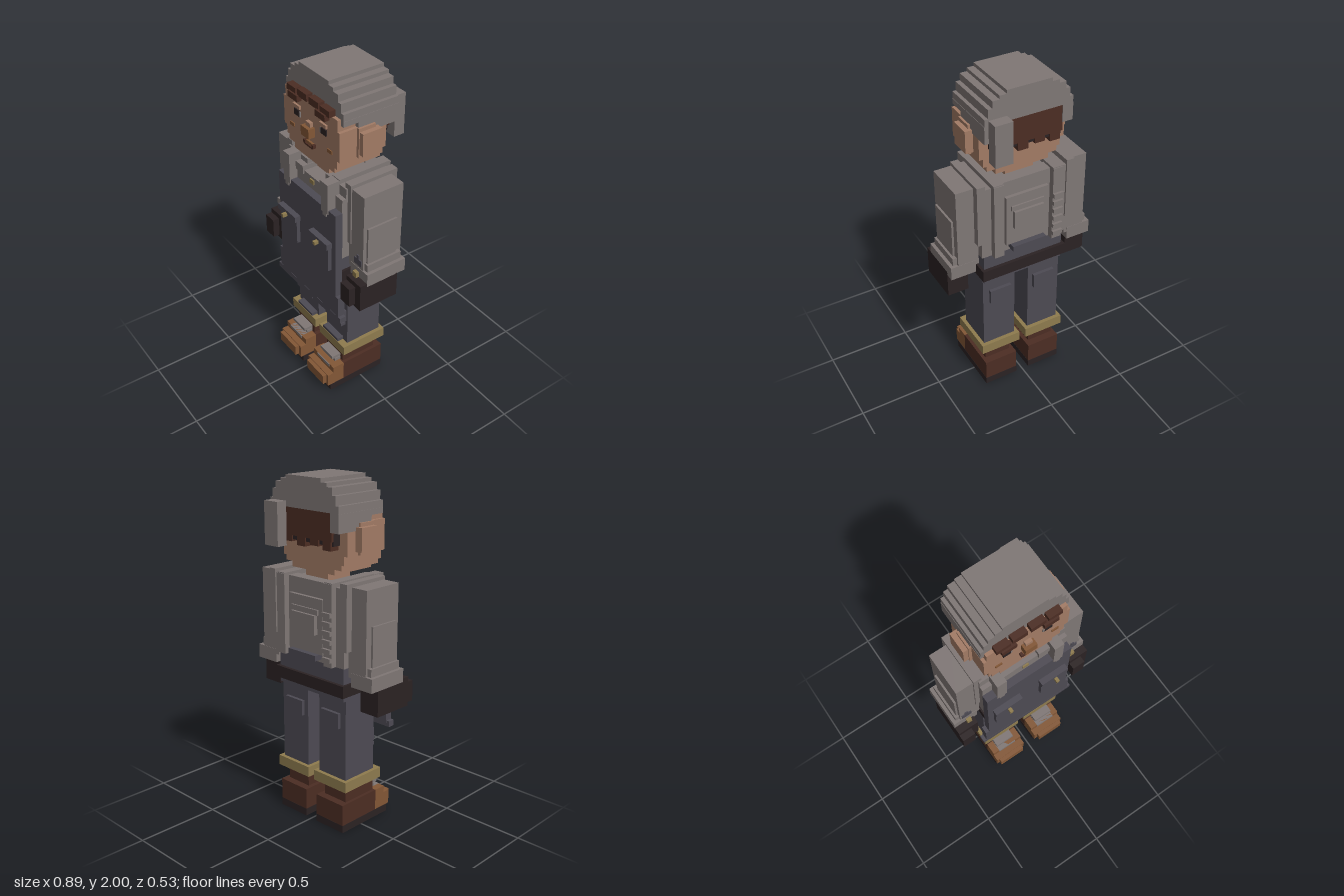
import * as THREE from 'three';

const mat = (name, color) => Object.assign(new THREE.MeshStandardMaterial({ color }), { name });
const grey = mat('grey cloth', 0x7f7775);
const skin = mat('skin', 0xa27b65);
const navy = mat('dark denim', 0x4d4a53);
const black = mat('black leather', 0x2b2223);
const brown = mat('dark brown', 0x4c2d23);
const tan = mat('tan leather', 0x835736);
const gold = mat('gold', 0x8e7b4e);

export function createModel() {
  const model = new THREE.Group();
  model.name = 'figure';
  let part = model;
  const group = (name) => {
    part = new THREE.Group();
    part.name = name;
    model.add(part);
  };
  // Block given by its low and high limits on each axis
  const box = (name, m, x0, x1, y0, y1, z0, z1) => {
    const mesh = new THREE.Mesh(new THREE.BoxGeometry(x1 - x0, y1 - y0, z1 - z0), m);
    mesh.position.set((x0 + x1) / 2, (y0 + y1) / 2, (z0 + z1) / 2);
    mesh.name = name;
    part.add(mesh);
  };
  // The same block on both sides
  const pair = (name, m, x0, x1, ...rest) => {
    box(name + 'Left', m, x0, x1, ...rest);
    box(name + 'Right', m, -x1, -x0, ...rest);
  };

  group('head');
  // Half width, bottom and top of each step
  [[0.16, 1.49, 1.52], [0.21, 1.52, 1.55], [0.23, 1.55, 1.6], [0.253, 1.6, 1.77], [0.235, 1.77, 1.835]]
    .forEach(([w, y0, y1]) => box('headStep', skin, -w, w, y0, y1, -0.13, 0.16));
  box('neck', skin, -0.085, 0.085, 1.34, 1.5, -0.1, 0.07);
  pair('ear', skin, 0.25, 0.298, 1.62, 1.75, -0.07, 0.05);
  pair('earRim', skin, 0.25, 0.27, 1.6, 1.77, -0.05, 0.055);

  group('face');
  pair('eye', black, 0.1, 0.145, 1.705, 1.74, 0.16, 0.168);
  pair('eyeCorner', grey, 0.09, 0.1, 1.705, 1.735, 0.16, 0.167);
  pair('eyeLid', skin, 0.09, 0.15, 1.75, 1.77, 0.16, 0.172);
  pair('cheek', tan, 0.15, 0.19, 1.62, 1.64, 0.16, 0.166);
  box('nose', tan, -0.035, 0.035, 1.645, 1.7, 0.16, 0.2);
  box('noseBridge', skin, -0.02, 0.02, 1.7, 1.725, 0.16, 0.18);
  box('mouth', brown, -0.035, 0.035, 1.58, 1.59, 0.16, 0.18);
  pair('mouthCorner', brown, 0.03, 0.045, 1.585, 1.605, 0.16, 0.18);
  box('lip', tan, -0.03, 0.03, 1.59, 1.605, 0.16, 0.172);
  // Fringe tufts
  pair('fringeOuter', brown, 0.11, 0.19, 1.835, 1.87, 0.135, 0.18);
  pair('fringeInner', brown, 0.01, 0.095, 1.835, 1.875, 0.135, 0.178);
  pair('brow', brown, 0.08, 0.165, 1.805, 1.84, 0.15, 0.19);

  group('hat');
  [[0.255, 1.83, 1.87], [0.235, 1.87, 1.92], [0.21, 1.92, 1.96], [0.17, 1.96, 1.98], [0.13, 1.98, 2]]
    .forEach(([w, y0, y1]) => box('hatStep', grey, -w, w, y0, y1, -0.2, 0.14));
  pair('hatSide', grey, 0.235, 0.257, 1.77, 1.83, -0.2, 0.05);
  pair('hatSideFront', grey, 0.235, 0.257, 1.8, 1.83, 0.05, 0.14);
  pair('hatSideBack', grey, 0.195, 0.257, 1.73, 1.83, -0.2, -0.03);
  box('hatTail', grey, 0.13, 0.233, 1.62, 1.86, -0.265, -0.2);

  group('backHair');
  box('hair', brown, -0.2, 0.2, 1.68, 1.83, -0.195, -0.12);
  [-0.19, -0.1, 0, 0.1].forEach((x, i) =>
    box('hairTuft', brown, x, x + 0.06, 1.63 + 0.015 * (i % 2), 1.69, -0.19, -0.12));
  box('hairShade', black, -0.2, 0.2, 1.655, 1.72, -0.18, -0.125);

  group('jacket');
  box('torso', grey, -0.27, 0.27, 1.0, 1.38, -0.17, 0.155);
  pair('shoulderTop', grey, 0.085, 0.27, 1.38, 1.44, -0.17, 0.13);
  pair('collar', grey, 0.08, 0.15, 1.36, 1.41, -0.1, 0.165);
  box('collarBack', grey, -0.15, 0.15, 1.38, 1.45, -0.17, -0.1);
  pair('armhole', grey, 0.25, 0.297, 1.1, 1.47, -0.18, 0.12);
  box('collarButton', gold, -0.018, 0.018, 1.34, 1.365, 0.15, 0.163);
  // Back panel, pouch and braces
  box('backPanel', grey, -0.13, 0.13, 1.05, 1.36, -0.19, -0.17);
  box('pouch', grey, -0.09, 0.09, 1.16, 1.27, -0.215, -0.19);
  box('pouchFlap', grey, -0.1, 0.1, 1.27, 1.3, -0.2, -0.19);
  box('backTrim', navy, -0.105, 0.105, 1.02, 1.05, -0.222, -0.17);
  pair('backBrace', grey, 0.15, 0.21, 1.0, 1.46, -0.205, -0.17);
  for (let i = 0; i < 6; i++) box('braceStitch', grey, -0.21, -0.15, 1.03 + i * 0.05, 1.055 + i * 0.05, -0.22, -0.2);

  group('arms');
  pair('sleeve', grey, 0.275, 0.4, 0.95, 1.45, -0.14, 0.112);
  pair('elbow', grey, 0.39, 0.412, 1.0, 1.25, -0.1, 0.09);
  pair('cuffTop', grey, 0.3, 0.425, 0.98, 1.025, -0.125, 0.1);
  pair('cuff', grey, 0.295, 0.445, 0.9, 0.98, -0.142, 0.115);
  pair('sleevePatch', navy, 0.33, 0.39, 1.0, 1.04, 0.11, 0.118);
  pair('sleevePatchTip', navy, 0.35, 0.37, 1.04, 1.065, 0.11, 0.118);
  pair('cuffButton', gold, 0.34, 0.37, 0.915, 0.955, 0.11, 0.135);
  pair('glove', black, 0.32, 0.445, 0.75, 0.92, -0.09, 0.16);
  box('thumbLeft', black, 0.32, 0.4, 0.77, 0.89, 0.16, 0.2);
  box('thumbRight', black, -0.445, -0.365, 0.77, 0.89, 0.16, 0.2);

  group('apron');
  box('bib', navy, -0.272, 0.272, 0.74, 1.3, 0.155, 0.2);
  box('skirt', navy, -0.295, 0.295, 0.6, 0.75, 0.155, 0.199);
  box('hem', navy, -0.315, 0.315, 0.58, 0.615, 0.16, 0.2);
  pair('strap', grey, 0.15, 0.21, 1.275, 1.46, 0.1, 0.206);
  pair('strapTip', grey, 0.165, 0.195, 1.255, 1.275, 0.19, 0.206);
  pair('strapOver', grey, 0.15, 0.21, 1.43, 1.465, -0.2, 0.13);
  pair('pocket', navy, 0.07, 0.235, 0.92, 1.1, 0.2, 0.222);
  pair('pocketFlap', navy, 0.065, 0.24, 1.07, 1.105, 0.2, 0.235);
  pair('pocketButton', gold, 0.145, 0.165, 1.07, 1.09, 0.235, 0.262);

  group('trousers');
  box('hips', navy, -0.25, 0.25, 0.8, 1.0, -0.152, 0.155);
  box('belt', black, -0.265, 0.265, 0.83, 0.9, -0.172, 0.15);
  pair('leg', navy, 0.045, 0.25, 0.32, 0.83, -0.132, 0.1);
  pair('backPocket', navy, 0.075, 0.21, 0.63, 0.72, -0.152, -0.13);
  pair('knee', navy, 0.05, 0.24, 0.49, 0.57, 0.1, 0.118);
  pair('kneeFold', navy, 0.07, 0.23, 0.455, 0.475, 0.1, 0.13);
  pair('shinFold', navy, 0.06, 0.21, 0.325, 0.345, 0.1, 0.14);
  pair('legCuff', gold, 0.022, 0.272, 0.26, 0.322, -0.155, 0.14);

  group('boots');
  pair('bootShaft', brown, 0.068, 0.232, 0.17, 0.26, -0.11, 0.12);
  pair('bootHeel', brown, 0.043, 0.252, 0.045, 0.172, -0.155, 0.125);
  pair('bootToe', tan, 0.043, 0.252, 0.045, 0.13, 0.125, 0.24);
  pair('bootInstep', tan, 0.043, 0.252, 0.13, 0.172, 0.125, 0.2);
  pair('toeCap', tan, 0.065, 0.235, 0.06, 0.125, 0.24, 0.265);
  pair('sole', black, 0.042, 0.253, 0, 0.045, -0.156, 0.222);
  // Laces
  [[0.205, 0.18], [0.18, 0.16], [0.16, 0.205]].forEach(([y, z]) =>
    pair('lace', grey, 0.088, 0.21, y - 0.007, y + 0.012, 0.1, z));

  return model;
}
